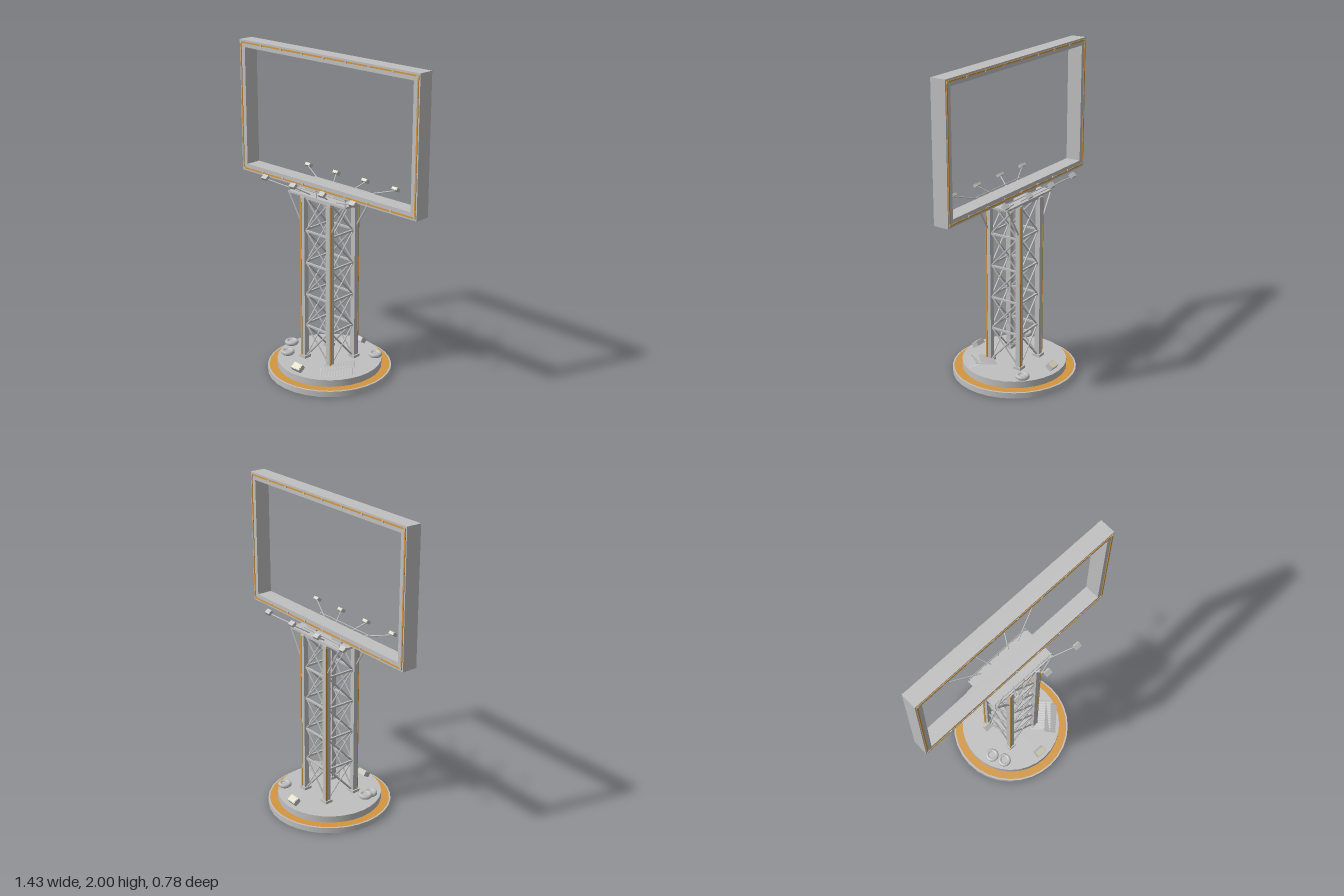
import * as THREE from 'three';

const paint = (name, color) => {
  const m = new THREE.MeshStandardMaterial({ color });
  m.name = name;
  return m;
};

export function createModel() {
  const grey = paint('light grey metal', 0xc0c0c0);
  const orange = paint('orange trim', 0xd2963f);
  const cream = paint('cream lens', 0xded9c0);
  const sheetGrey = paint('corrugated sheet', 0xbababa);
  sheetGrey.side = THREE.DoubleSide;
  const root = new THREE.Group();
  root.name = 'billboard';

  const add = (name, geo, mat, x = 0, y = 0, z = 0, parent = root) => {
    const m = new THREE.Mesh(geo, mat);
    m.name = name;
    m.position.set(x, y, z);
    parent.add(m);
    return m;
  };
  const box = (name, mat, w, h, d, x, y, z, parent) =>
    add(name, new THREE.BoxGeometry(w, h, d), mat, x, y, z, parent);
  // Square or round bar between two points
  const bar = (name, a, b, r, sides = 4, parent = root) => {
    const p = new THREE.Vector3(...a), q = new THREE.Vector3(...b);
    const dir = q.clone().sub(p), mid = p.clone().add(q).multiplyScalar(0.5);
    const m = add(name, new THREE.CylinderGeometry(r, r, dir.length(), sides), grey, mid.x, mid.y, mid.z, parent);
    m.quaternion.setFromUnitVectors(new THREE.Vector3(0, 1, 0), dir.normalize());
    return m;
  };
  // Rectangular ring centred on the origin
  const rectRing = (w, h, t, depth) => {
    const rect = (C, a, b) => {
      const s = new C();
      s.moveTo(-a, -b); s.lineTo(a, -b); s.lineTo(a, b); s.lineTo(-a, b); s.closePath();
      return s;
    };
    const s = rect(THREE.Shape, w / 2, h / 2);
    s.holes.push(rect(THREE.Path, w / 2 - t, h / 2 - t));
    return new THREE.ExtrudeGeometry(s, { depth, bevelEnabled: false }).translate(0, 0, -depth / 2);
  };

  // Round stepped base with a painted ring
  add('lowerBase', new THREE.CylinderGeometry(0.388, 0.388, 0.036, 32), grey, 0, 0.018, 0);
  add('upperBase', new THREE.CylinderGeometry(0.327, 0.327, 0.046, 32), grey, 0, 0.058, 0);
  const ring = add('baseRing', new THREE.RingGeometry(0.326, 0.378, 32), orange, 0, 0.0375, 0);
  ring.rotation.x = -Math.PI / 2;

  // Lattice tower: one leg and one braced face, repeated four times
  const y0 = 0.095, panel = 0.208;
  for (let i = 0; i < 4; i++) {
    const side = new THREE.Group();
    side.name = 'towerSide';
    side.rotation.y = i * Math.PI / 2;
    root.add(side);
    box('leg', grey, 0.033, 1.06, 0.033, -0.108, 0.61, 0.108, side);
    box('legStripe', orange, 0.011, 1.04, 0.005, -0.1205, 0.61, 0.1255, side);
    box('footPlate', grey, 0.052, 0.018, 0.052, -0.108, 0.089, 0.108, side);
    for (let k = 0; k < 5; k++) {
      const a = y0 + k * panel, b = a + panel;
      bar('diagonalBrace', [-0.095, a, 0.108], [0.095, b, 0.108], 0.006, 4, side);
      bar('diagonalBrace', [0.095, a, 0.105], [-0.095, b, 0.105], 0.006, 4, side);
      box('crossBrace', grey, 0.19, 0.011, 0.011, 0, b, 0.108, side);
    }
  }

  // Platform, beams and railing
  box('platform', grey, 0.476, 0.012, 0.23, 0, 1.146, 0);
  box('underBeam', grey, 0.3, 0.034, 0.09, 0, 1.123, 0);
  for (const s of [-1, 1]) {
    box('pedestal', grey, 0.09, 0.02, 0.09, s * 0.12, 1.16, 0);
    bar('platformRail', [-0.232, 1.188, s * 0.11], [0.232, 1.188, s * 0.11], 0.003, 6);
    for (const x of [-0.23, 0, 0.23]) bar('railPost', [x, 1.15, s * 0.11], [x, 1.188, s * 0.11], 0.003, 6);
    for (const x of [-1, 1]) bar('platformStrut', [x * 0.122, 0.965, s * 0.112], [x * 0.23, 1.142, s * 0.112], 0.007);
  }

  // Sign frame with trim and small bolts on both faces
  const cy = 1.584;
  add('signFrame', rectRing(1.432, 0.832, 0.045, 0.098), grey, 0, cy, 0);
  for (const s of [-1, 1]) {
    add('frameTrim', rectRing(1.416, 0.81, 0.009, 0.006), orange, 0, cy, s * 0.05);
    for (const x of [-0.7, -0.525, -0.35, -0.175, 0, 0.175, 0.35, 0.525, 0.7])
      for (const y of [1.188, 1.982]) box('frameBolt', grey, 0.014, 0.012, 0.012, x, y, s * 0.049);
  }

  // Floodlights on arms
  for (const s of [-1, 1])
    for (const m of [-1, 1])
      for (const [x, start] of [[0.36, 0.15], [0.12, 0.07]]) {
        bar('lampArm', [m * start, 1.158, s * 0.095], [m * x, 1.213, s * 0.183], 0.004, 6);
        const lamp = new THREE.Group();
        lamp.name = 'lamp';
        lamp.position.set(m * x, 1.221, s * 0.186);
        lamp.rotation.set(s * 0.65, 0, 0);
        root.add(lamp);
        box('lampHead', grey, 0.042, 0.019, 0.03, 0, 0, 0, lamp);
        box('lampLens', cream, 0.034, 0.013, 0.003, 0, 0, -s * 0.0155, lamp);
      }

  // Ground lights, tilted outward
  for (const s of [0, 1]) {
    const g = new THREE.Group();
    g.name = 'groundLight';
    g.rotation.y = s * Math.PI;
    root.add(g);
    const tilt = new THREE.Group();
    tilt.position.set(0, 0.104, 0.28);
    tilt.rotation.x = 0.6;
    g.add(tilt);
    box('groundLightBody', grey, 0.07, 0.03, 0.045, 0, 0, 0, tilt);
    box('groundLightLens', cream, 0.062, 0.003, 0.038, 0, 0.0155, 0, tilt);
  }

  // Tyres
  const profile = [[0.021, 0.004], [0.025, -0.013], [0.036, -0.013], [0.043, -0.006],
    [0.043, 0.006], [0.036, 0.013], [0.025, 0.013], [0.021, 0.004]]
    .map(p => new THREE.Vector2(...p));
  for (const [x, y, z] of [[0.207, 0.097, -0.2], [-0.212, 0.097, 0.16], [-0.253, 0.126, 0.085]]) {
    add('tyre', new THREE.LatheGeometry(profile, 18), grey, x, y, z);
    add('tyreHub', new THREE.CylinderGeometry(0.022, 0.022, 0.01, 18), grey, x, y, z);
  }

  // Scrap corrugated sheets leaning on each other
  const sheet = (w, d, x, y, z, tiltX, tiltZ) => {
    const geo = new THREE.PlaneGeometry(w, d, 24, 1).rotateX(-Math.PI / 2);
    const p = geo.attributes.position;
    for (let i = 0; i < p.count; i++) p.setY(i, ((i % 25) % 2) * 0.005);
    geo.computeVertexNormals();
    const m = add('scrapSheet', geo, sheetGrey, x, y, z);
    m.rotation.set(tiltX, 0.78, tiltZ, 'YXZ');
  };
  sheet(0.2, 0.08, 0.215, 0.108, 0.162, 0.3, 0.1);
  sheet(0.2, 0.13, 0.18, 0.11, 0.105, -0.12, 0.16);

  return root;
}
